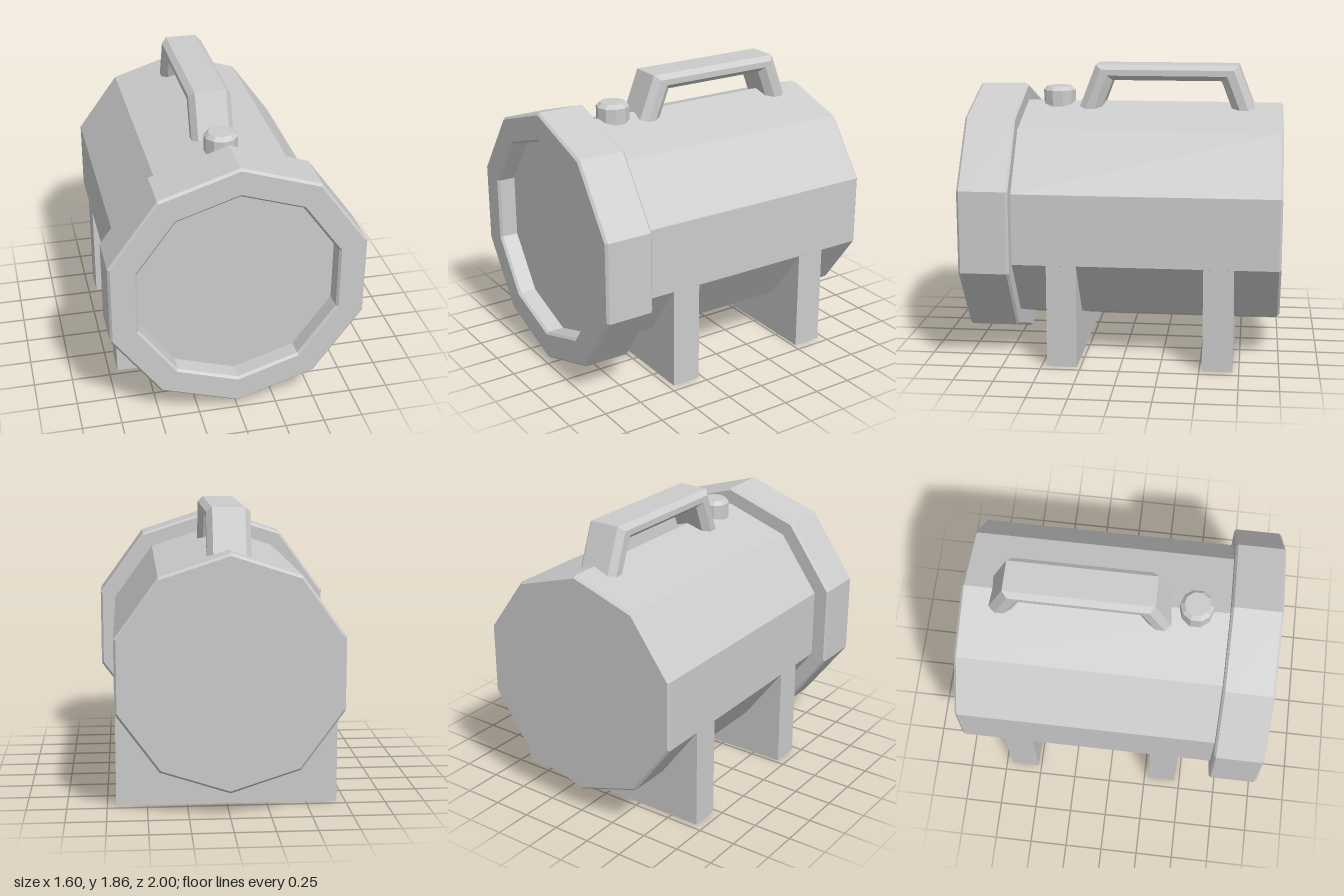
import * as THREE from 'three';

const SIDES = 10;
const AXIS_Y = 0.885; // height of the barrel's axis

export function createModel() {
  const group = new THREE.Group();
  const grey = new THREE.MeshStandardMaterial({ color: 0xcccccc, flatShading: true });

  const add = (name, geometry, x = 0, y = 0, z = 0) => {
    const mesh = new THREE.Mesh(geometry, grey);
    mesh.name = name;
    mesh.position.set(x, y, z);
    group.add(mesh);
  };
  const lathe = (points) =>
    new THREE.LatheGeometry(points.map(([r, h]) => new THREE.Vector2(r, h)), SIDES);

  // Barrel with a small chamfer at the back
  add('body', lathe([
    [0, -1], [0.715, -1], [0.73, -0.985], [0.73, 0.69], [0, 0.69],
  ]).rotateX(Math.PI / 2), 0, AXIS_Y);

  // Front collar with chamfered rims and a recessed face
  add('frontRing', lathe([
    [0.7, 0.68], [0.825, 0.68], [0.84, 0.695], [0.84, 0.985], [0.825, 1],
    [0.67, 1], [0.655, 0.985], [0.655, 0.88], [0, 0.88],
  ]).rotateX(Math.PI / 2), 0, AXIS_Y);

  // Two supports, flush with the barrel's sides
  const legHeight = 0.66;
  for (const [name, z] of [['frontLeg', 0.37], ['backLeg', -0.615]]) {
    add(name, new THREE.BoxGeometry(1.388, legHeight, 0.19), 0, legHeight / 2, z);
  }

  // Button on top
  add('knob', lathe([
    [0, 1.5], [0.106, 1.5], [0.106, 1.685], [0.08, 1.71], [0, 1.71],
  ]), 0, 0, 0.472);

  // Carrying handle, its feet sunk into the barrel
  add('handle', handleGeometry(), -0.008, 0, -0.245);

  return group;
}

// Chamfered section swept over foot, corner, corner, foot
function handleGeometry() {
  // Each station: outer [z, y] and inner [z, y]
  const half = [
    [[0.604, 1.5], [0.455, 1.5]],
    [[0.465, 1.86], [0.355, 1.76]],
  ];
  const mirrored = half.map((s) => s.map(([z, y]) => [-z, y])).reverse();
  const stations = [...half, ...mirrored];

  // Section: [x, share of the way from outer to inner]
  const side = [[0.1, 0], [0.135, 0.3], [0.135, 0.68], [0.1, 1]];
  const section = [...side, ...side.map(([x, t]) => [-x, t]).reverse()];
  const n = section.length;

  const positions = [];
  for (const [outer, inner] of stations) {
    for (const [x, t] of section) {
      positions.push(
        x,
        THREE.MathUtils.lerp(outer[1], inner[1], t),
        THREE.MathUtils.lerp(outer[0], inner[0], t),
      );
    }
  }
  const index = [];
  for (let s = 0; s < stations.length - 1; s++) {
    for (let i = 0; i < n; i++) {
      const a = s * n + i;
      const b = s * n + ((i + 1) % n);
      index.push(a, b, a + n, b, b + n, a + n);
    }
  }
  const geometry = new THREE.BufferGeometry();
  geometry.setAttribute('position', new THREE.Float32BufferAttribute(positions, 3));
  geometry.setIndex(index);
  const flat = geometry.toNonIndexed();
  flat.computeVertexNormals();
  return flat;
}
